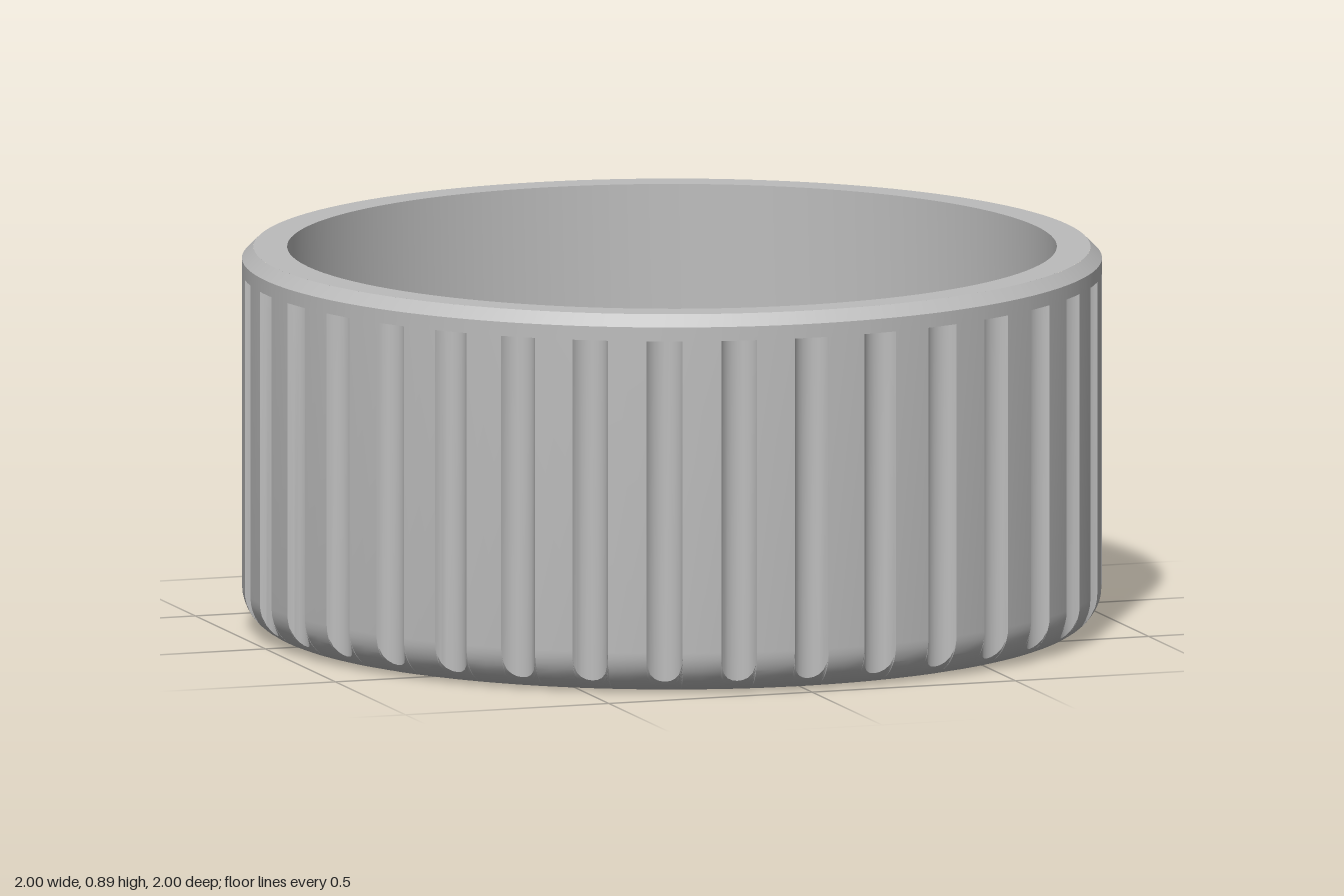
import * as THREE from 'three';
import { toCreasedNormals } from 'three/addons/utils/BufferGeometryUtils.js';

const FLUTES = 36;
const FILLET = 0.1; // rounded lower edge
const FLUTE_TOP = 0.835;
const FLUTE_CENTRE = 1.015, FLUTE_R = 0.045; // vertical round cutter
const DIMPLE_X = -0.595;

const V = (x, y) => new THREE.Vector2(x, y);

// Outer wall: one profile per column, set back where the cutter passes
function flutedWall() {
  const c = FLUTE_CENTRE, R = FLUTE_R;
  const half = Math.acos((1 + c * c - R * R) / (2 * c)); // half angle of a flute
  const pitch = (Math.PI * 2) / FLUTES;
  const cuts = 10, lands = 2, arcSteps = 10;

  const columns = [];
  for (let k = 0; k < FLUTES; k++) {
    for (let i = 0; i < cuts; i++) {
      const a = half * Math.sin((i / cuts - 0.5) * Math.PI);
      const s = c * Math.sin(a);
      const r = c * Math.cos(a) - Math.sqrt(Math.max(0, R * R - s * s));
      columns.push([k * pitch + a, Math.min(1, r)]);
    }
    for (let i = 0; i < lands; i++) {
      columns.push([k * pitch + half + (i / lands) * (pitch - 2 * half), 1]);
    }
  }
  columns.push([columns[0][0] + Math.PI * 2, columns[0][1]]);

  const pos = [], index = [];
  let rows = 0;
  for (const [angle, r] of columns) {
    const profile = [];
    const end = Math.asin(Math.min(1, (r - 1 + FILLET) / FILLET));
    for (let j = 0; j <= arcSteps; j++) {
      const t = (end * j) / arcSteps;
      profile.push([1 - FILLET + FILLET * Math.sin(t), FILLET * (1 - Math.cos(t))]);
    }
    profile.push([r, FLUTE_TOP], [1, FLUTE_TOP], [1, 0.868], [0.973, 0.895]);
    rows = profile.length;
    for (const [pr, y] of profile) pos.push(pr * Math.sin(angle), y, pr * Math.cos(angle));
  }
  for (let i = 0; i < columns.length - 1; i++) {
    for (let j = 0; j < rows - 1; j++) {
      const a = i * rows + j, b = a + rows;
      index.push(a, b, b + 1, a, b + 1, a + 1);
    }
  }
  const g = new THREE.BufferGeometry();
  g.setAttribute('position', new THREE.Float32BufferAttribute(pos, 3));
  g.setIndex(index);
  return toCreasedNormals(g, 0.5);
}

export function createModel() {
  const group = new THREE.Group();
  const grey = new THREE.MeshStandardMaterial({ color: 0xbcbcbc });
  grey.name = 'grey';
  const add = (name, geometry) => {
    const mesh = new THREE.Mesh(geometry, grey);
    mesh.name = name;
    group.add(mesh);
    return mesh;
  };

  add('flutedWall', flutedWall());

  // Rim, inner wall and floor
  const cup = [V(0.973, 0.895), V(0.895, 0.895), V(0.895, 0.29), V(0.21, 0.29)];
  add('cupInterior', toCreasedNormals(new THREE.LatheGeometry(cup, 120), 0.5));

  // Short hollow boss in the middle of the floor
  const boss = [V(0.21, 0.29), V(0.21, 0.39), V(0.16, 0.39), V(0.16, 0.15), V(0, 0.15)];
  add('shaftBoss', toCreasedNormals(new THREE.LatheGeometry(boss, 64), 0.5));

  // Finger dimple: spherical bowl blended into the base by a small round
  const bowlR = 0.39, blendR = 0.08, slope = (40 * Math.PI) / 180;
  const rim = (bowlR + blendR) * Math.sin(slope);
  const depth = (bowlR + blendR) * (1 - Math.cos(slope));
  const bowl = [];
  for (let i = 0; i <= 12; i++) {
    const t = (slope * i) / 12;
    bowl.push(V(bowlR * Math.sin(t), depth - bowlR * (1 - Math.cos(t))));
  }
  for (let i = 7; i >= 0; i--) {
    const t = (slope * i) / 8;
    bowl.push(V(rim - blendR * Math.sin(t), blendR * (1 - Math.cos(t))));
  }
  add('fingerDimple', new THREE.LatheGeometry(bowl, 64)).position.x = DIMPLE_X;

  // Flat base around the dimple
  const base = new THREE.Shape().absarc(0, 0, 1 - FILLET, 0, Math.PI * 2, false);
  base.holes.push(new THREE.Path().absarc(DIMPLE_X, 0, rim, 0, Math.PI * 2, true));
  add('base', new THREE.ShapeGeometry(base, 90).rotateX(Math.PI / 2));

  return group;
}
